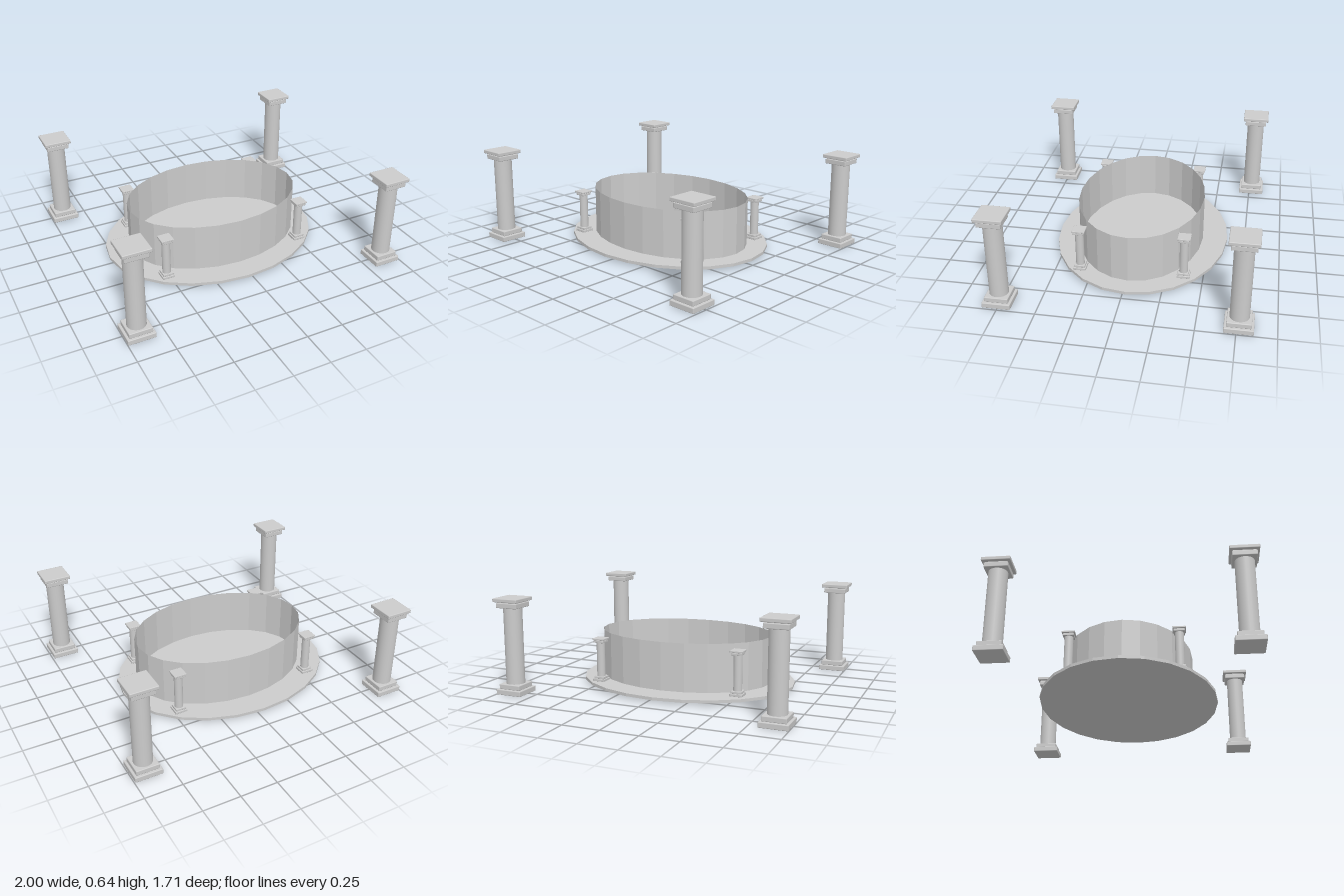
import * as THREE from 'three';
import { RoundedBoxGeometry } from 'three/addons/geometries/RoundedBoxGeometry.js';

const stone = new THREE.MeshStandardMaterial({ color: 0xcccccc });
const facetedStone = new THREE.MeshStandardMaterial({ color: 0xcccccc, flatShading: true });
const thinStone = new THREE.MeshStandardMaterial({ color: 0xcccccc, flatShading: true, side: THREE.DoubleSide });

function add(parent, name, geometry, material, x, y, z) {
  const mesh = new THREE.Mesh(geometry, material);
  mesh.name = name;
  mesh.position.set(x, y, z);
  parent.add(mesh);
  return mesh;
}

// Square slabs of a column: name, width, bottom, top
const slabs = [
  ['plinth', 0.185, 0.0, 0.036],
  ['baseBlock', 0.155, 0.036, 0.07],
  ['capitalBlock', 0.155, 0.58, 0.614],
  ['abacus', 0.185, 0.62, 0.645],
];

// Round shaft between stepped square base and capital
function createColumn(name) {
  const column = new THREE.Group();
  column.name = name;
  for (const [part, width, bottom, top] of slabs) {
    const slab = new RoundedBoxGeometry(width, top - bottom, width, 1, 0.005);
    add(column, part, slab, stone, 0, (bottom + top) / 2, 0);
  }
  add(column, 'capitalNeck', new THREE.BoxGeometry(0.14, 0.014, 0.14), stone, 0, 0.617, 0);
  add(column, 'shaft', new THREE.CylinderGeometry(0.062, 0.062, 0.52, 24, 1, true), stone, 0, 0.325, 0);
  return column;
}

export function createModel() {
  const model = new THREE.Group();
  model.name = 'pavilion';

  // Oval floor
  const floor = new THREE.CylinderGeometry(1, 1, 0.02, 24);
  floor.scale(0.76, 1, 0.605);
  add(model, 'floor', floor, facetedStone, -0.037, 0.025, -0.023);

  // Thin oval wall, open at the top
  const wall = new THREE.CylinderGeometry(1, 1, 0.327, 24, 1, true);
  wall.scale(0.615, 1, 0.438);
  add(model, 'wall', wall, thinStone, -0.02, 0.1985, -0.018);

  // Large outer columns at the corners
  const outer = [[-0.907, -0.765], [0.903, -0.765], [-0.907, 0.757], [0.897, 0.757]];
  for (const [x, z] of outer) {
    const column = createColumn('outerColumn');
    column.position.set(x, 0, z);
    model.add(column);
  }

  // Small columns on the floor around the wall
  const inner = [[-0.527, -0.372], [0.47, -0.372], [-0.53, 0.342], [0.487, 0.324]];
  for (const [x, z] of inner) {
    const column = createColumn('innerColumn');
    column.scale.set(0.465, 0.465, 0.465);
    column.position.set(x, 0.035, z);
    model.add(column);
  }
  return model;
}
